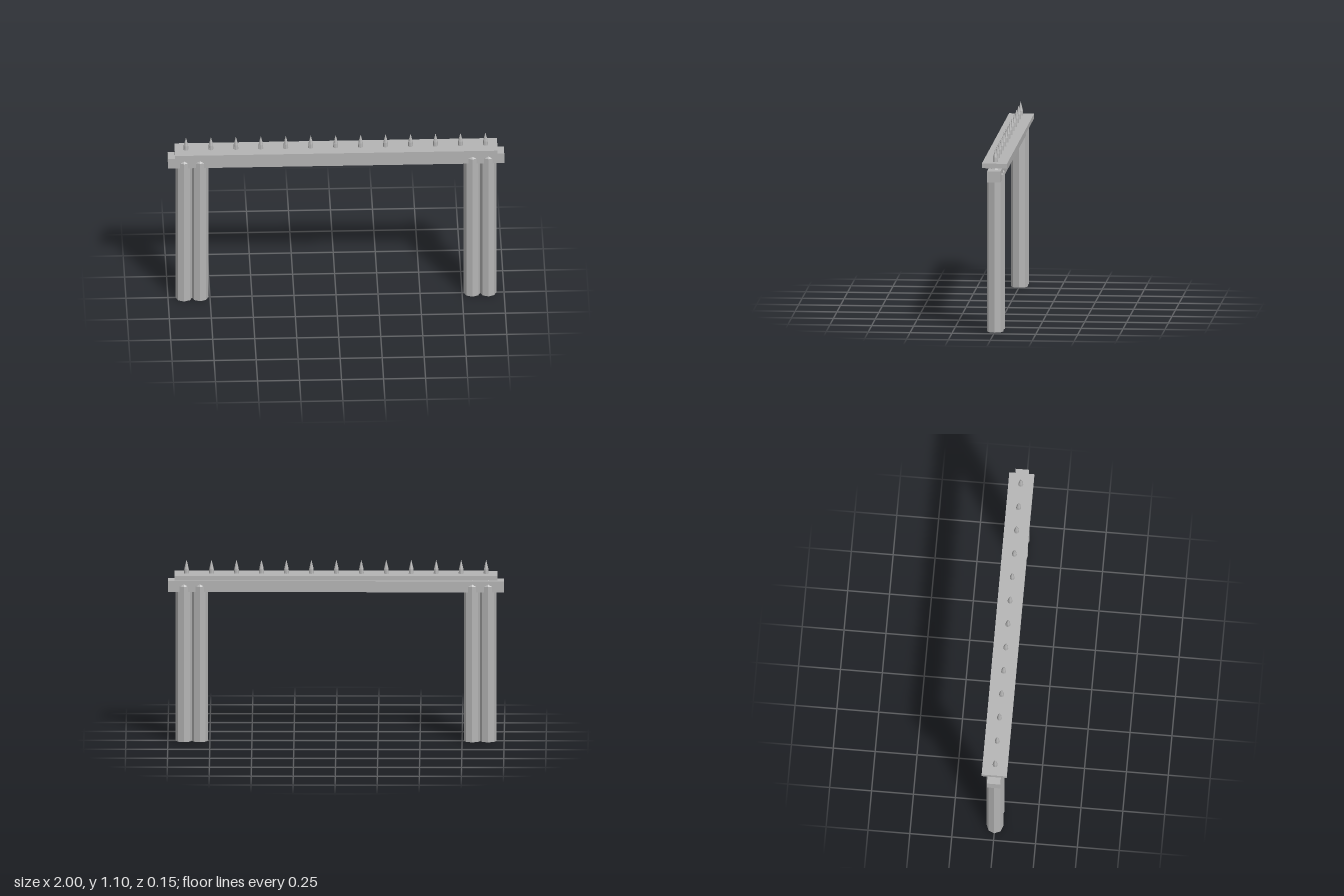
import * as THREE from 'three';

export function createModel() {
  const group = new THREE.Group();
  group.name = 'spikedBarrier';
  const steel = new THREE.MeshStandardMaterial({ color: 0xb4b4b4, flatShading: true });
  steel.name = 'grey steel';

  const add = (name, geometry, x, y) => {
    const mesh = new THREE.Mesh(geometry, steel);
    mesh.name = name;
    mesh.position.set(x, y, 0);
    group.add(mesh);
  };
  const lathe = (points) =>
    new THREE.LatheGeometry(points.map(([r, y]) => new THREE.Vector2(r, y)), 8);

  // Crossbeam and the wider plank floating just above it
  add('crossbeam', new THREE.BoxGeometry(2, 0.067, 0.08), 0, 0.945);
  add('topPlank', new THREE.BoxGeometry(1.92, 0.028, 0.15), 0, 1.004);

  // Paired octagonal posts with pointed tops that reach into the plank
  const post = lathe([[0, 0], [0.05, 0], [0.05, 0.945], [0.02, 0.985], [0, 1.005]]);
  for (const x of [-0.905, -0.81, 0.81, 0.905]) add('post', post, x, 0);

  // Row of spikes along the plank
  const spike = lathe([[0, 0], [0.015, 0], [0.0135, 0.03], [0.007, 0.058], [0, 0.085]]);
  for (let i = 0; i < 13; i++) add('spike', spike, -0.893 + i * 0.1485, 1.016);

  return group;
}
